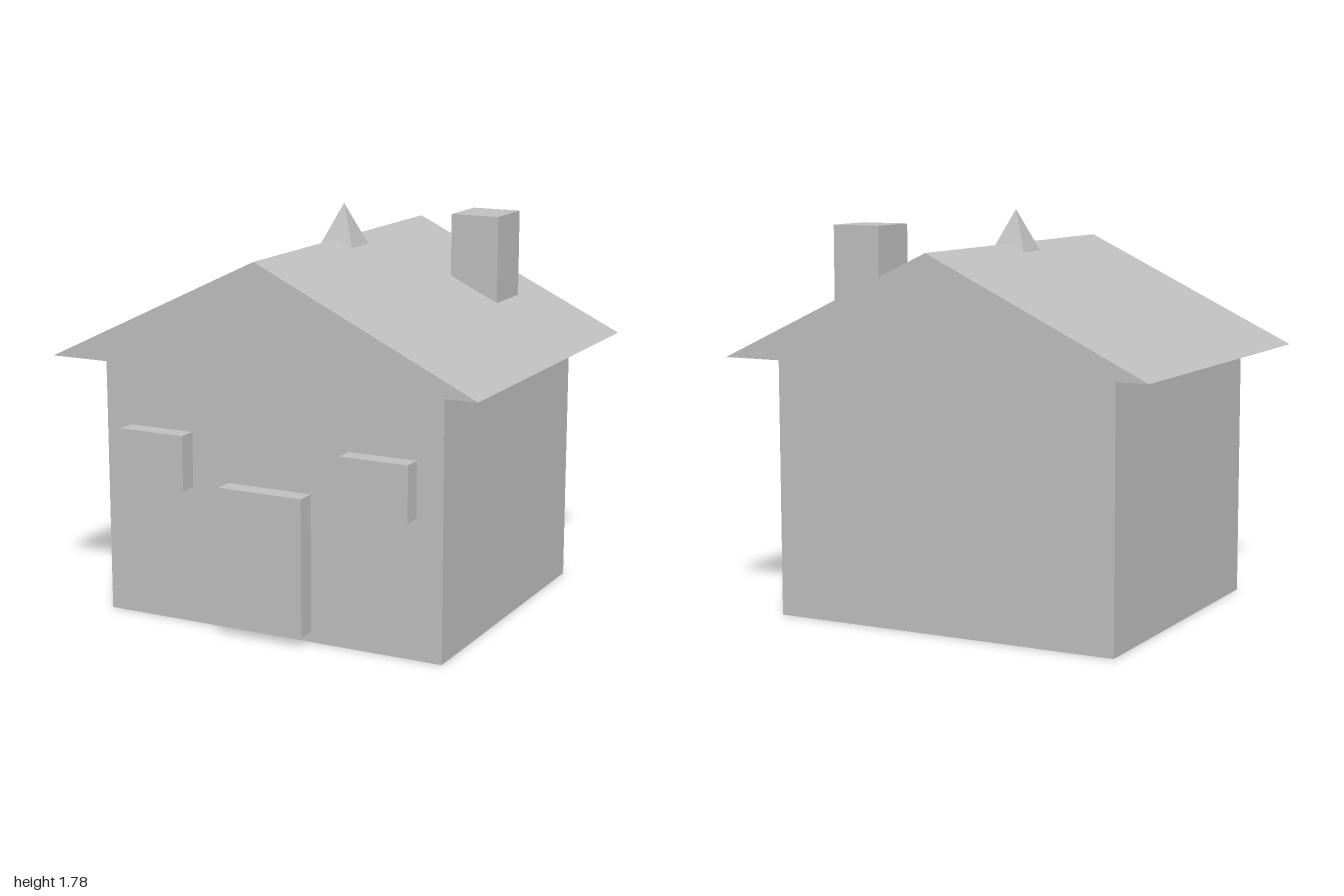
import * as THREE from 'three';

export function createModel() {
  const house = new THREE.Group();
  house.name = 'house';
  const grey = new THREE.MeshStandardMaterial({ color: 0xbfbfbf });
  grey.name = 'plain grey';
  const greySheet = new THREE.MeshStandardMaterial({ color: 0xbfbfbf, side: THREE.DoubleSide });
  greySheet.name = 'plain grey sheet';

  function add(name, geometry, material = grey) {
    const mesh = new THREE.Mesh(geometry, material);
    mesh.name = name;
    house.add(mesh);
    return mesh;
  }

  // Box given by its lower and upper limits on each axis
  function box(name, [x0, x1], [y0, y1], [z0, z1]) {
    add(name, new THREE.BoxGeometry(x1 - x0, y1 - y0, z1 - z0))
      .position.set((x0 + x1) / 2, (y0 + y1) / 2, (z0 + z1) / 2);
  }

  box('walls', [-0.805, 0.805], [0, 1.15], [-0.69, 0.69]);
  box('door', [-0.198, 0.198], [0.045, 0.65], [0.68, 0.777]);
  box('leftWindow', [0.375, 0.685], [0.61, 0.853], [0.68, 0.773]);
  box('rightWindow', [-0.685, -0.375], [0.61, 0.853], [0.68, 0.773]);
  box('chimney', [0.387, 0.611], [1.33, 1.72], [-0.537, -0.291]);

  // Roof: hollow tent of two slopes and two gables, open underneath
  const eave = 1.15, ridge = 1.63, depth = 0.805;
  const frontRight = [-1, eave, depth], frontLeft = [1, eave, depth], frontTop = [0, ridge, depth];
  const backRight = [-1, eave, -depth], backLeft = [1, eave, -depth], backTop = [0, ridge, -depth];
  const triangles = [
    frontRight, frontLeft, frontTop,
    backLeft, backRight, backTop,
    frontLeft, backLeft, backTop, frontLeft, backTop, frontTop,
    backRight, frontRight, frontTop, backRight, frontTop, backTop,
  ];
  const roof = new THREE.BufferGeometry();
  roof.setAttribute('position', new THREE.Float32BufferAttribute(triangles.flat(), 3));
  roof.computeVertexNormals();
  add('roof', roof, greySheet);

  // Four-sided spire straddling the middle of the ridge
  const spire = new THREE.ConeGeometry(0.08 * Math.SQRT2, 0.186, 4).rotateY(Math.PI / 4).toNonIndexed();
  spire.computeVertexNormals();
  add('ridgeSpire', spire).position.y = 1.687;

  return house;
}
